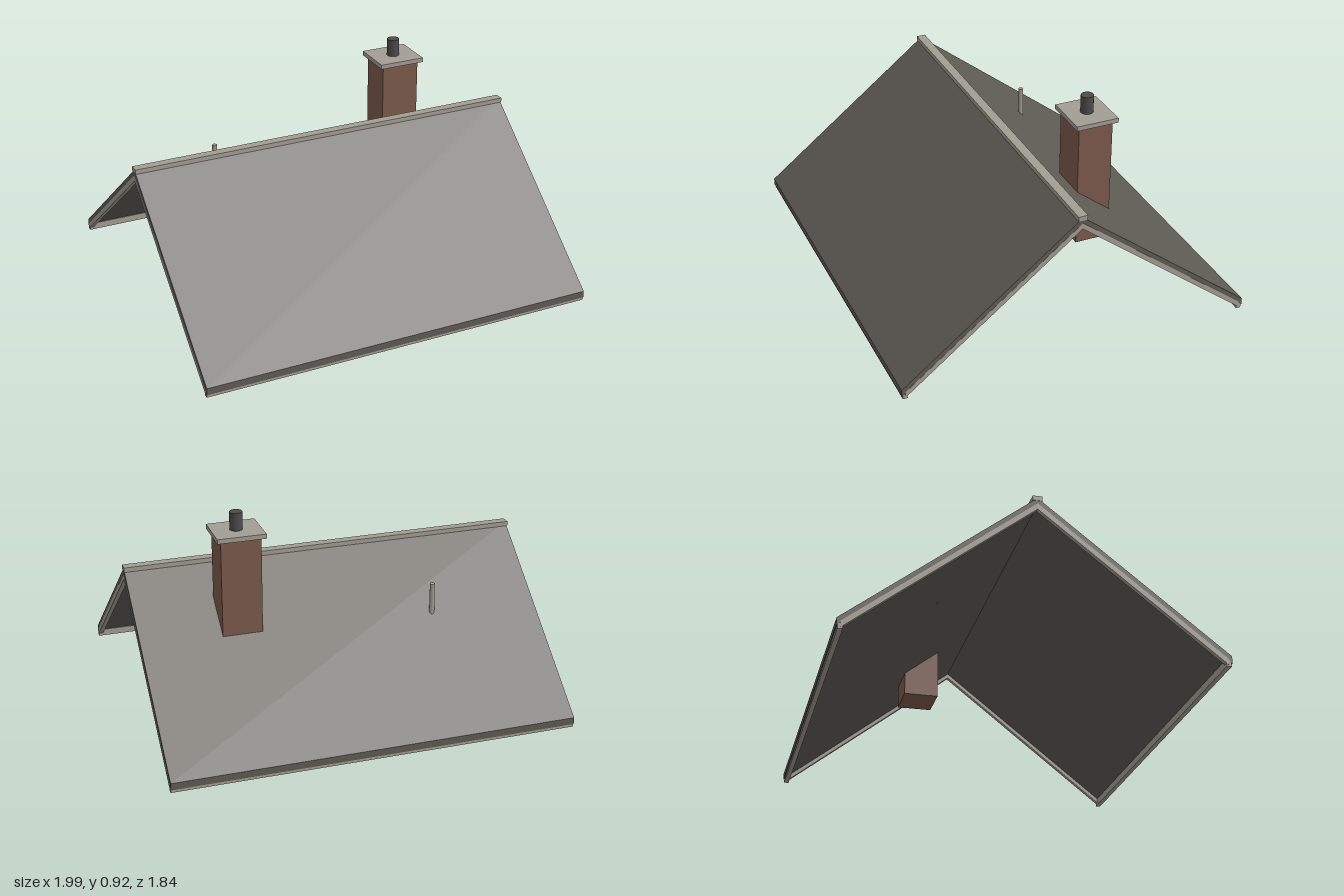
import * as THREE from 'three';

const mat = (name, color) => {
  const m = new THREE.MeshStandardMaterial({ color });
  m.name = name;
  return m;
};

export function createModel() {
  const shingle = mat('shingle grey', 0x5f5b54);
  const trim = mat('trim stone grey', 0xa39e93);
  const brick = mat('brick red brown', 0x7c5a4c);
  const metal = mat('dark metal', 0x4e4c4a);

  const model = new THREE.Group();
  model.name = 'gableRoof';
  model.rotation.y = -0.201;

  const LENGTH = 1.724;
  const HALF_DEPTH = 0.764;
  const SLOPE = 0.783;

  const add = (name, geometry, material, x, y, z) => {
    const mesh = new THREE.Mesh(geometry, material);
    mesh.name = name;
    mesh.position.set(x, y, z);
    model.add(mesh);
    return mesh;
  };

  // Inverted V band, extruded along the ridge and centred on x
  const chevron = (peak, thick, half, length) => {
    const drop = half * SLOPE;
    const shape = new THREE.Shape([
      [-half, peak - drop], [-half, peak - drop - thick], [0, peak - thick],
      [half, peak - drop - thick], [half, peak - drop], [0, peak],
    ].map(([a, b]) => new THREE.Vector2(a, b)));
    const g = new THREE.ExtrudeGeometry(shape, { depth: length, bevelEnabled: false });
    return g.translate(0, 0, -length / 2).rotateY(Math.PI / 2);
  };

  // Roof covering and ridge cap
  add('roofSlopes', chevron(0.642, 0.03, HALF_DEPTH, LENGTH), shingle, 0, 0, 0);
  add('ridgeCap', new THREE.BoxGeometry(LENGTH + 0.004, 0.02, 0.04), trim, 0, 0.64, 0);

  for (const s of [-1, 1]) {
    // Gable edge boards and eave boards
    add(s < 0 ? 'rightRakeBoard' : 'leftRakeBoard',
      chevron(0.618, 0.026, 0.75, 0.02), trim, s * (LENGTH / 2 - 0.009), 0, 0);
    add(s < 0 ? 'backFascia' : 'frontFascia',
      new THREE.BoxGeometry(LENGTH, 0.03, 0.02), trim, 0, 0.015, s * 0.75);
  }

  // Chimney with slab and flue
  const cx = 0.435, cz = -0.221;
  add('chimneyStack', new THREE.BoxGeometry(0.17, 0.546, 0.15), brick, cx, 0.555, cz);
  add('chimneySlab', new THREE.BoxGeometry(0.205, 0.02, 0.185), trim, cx, 0.836, cz);
  add('chimneyFlue', new THREE.CylinderGeometry(0.027, 0.027, 0.08, 16), metal, cx, 0.882, cz);

  // Vent pipe on the back slope
  add('ventPipe', new THREE.CylinderGeometry(0.011, 0.011, 0.155, 12), trim, -0.394, 0.4525, -0.307);

  const root = new THREE.Group();
  root.name = 'roofModel';
  root.add(model);
  return root;
}
